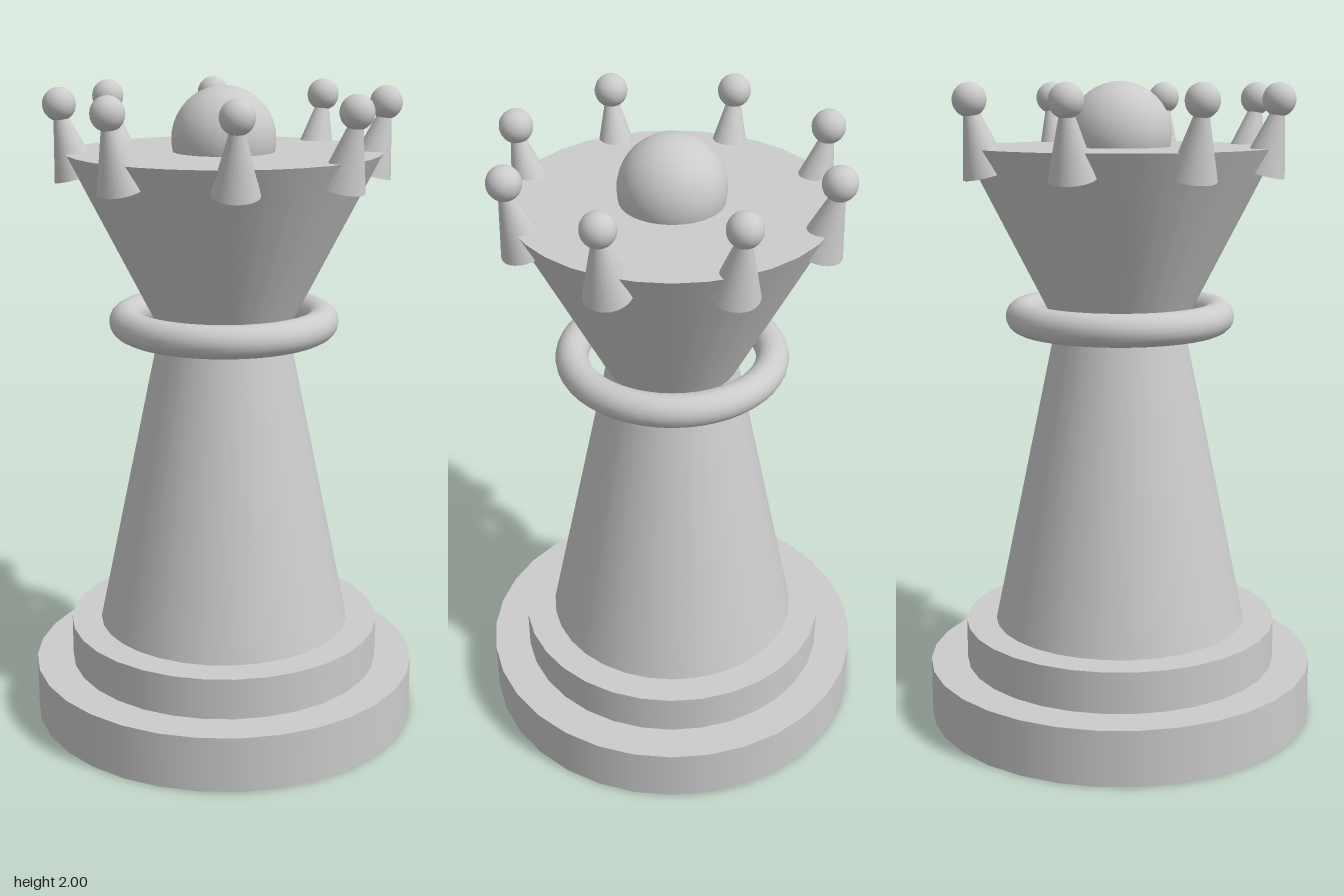
import * as THREE from 'three';

export function createModel() {
  const model = new THREE.Group();
  const material = new THREE.MeshStandardMaterial({ color: 0xcccccc });

  function add(name, geometry, y, parent = model) {
    const mesh = new THREE.Mesh(geometry, material);
    mesh.name = name;
    mesh.position.y = y;
    parent.add(mesh);
    return mesh;
  }

  // Round section standing between two heights
  function drum(name, bottomRadius, topRadius, y0, y1) {
    return add(name, new THREE.CylinderGeometry(topRadius, bottomRadius, y1 - y0, 32), (y0 + y1) / 2);
  }

  // Stepped foot, tapering body and flared crown
  drum('base', 0.612, 0.612, 0, 0.175);
  drum('baseStep', 0.495, 0.495, 0.175, 0.305);
  drum('body', 0.4, 0.2, 0.305, 1.262);
  drum('crown', 0.2, 0.477, 1.262, 1.805);

  // Loose ring around the neck
  const collar = add('collar', new THREE.TorusGeometry(0.305, 0.05, 20, 48), 1.288);
  collar.rotation.x = Math.PI / 2;

  // Ball on top
  add('finial', new THREE.SphereGeometry(0.158, 32, 20), 1.842);

  // Eight outward-leaning prongs tipped with small balls
  const coneGeometry = new THREE.CylinderGeometry(0.022, 0.07, 0.18, 24);
  const ballGeometry = new THREE.SphereGeometry(0.05, 20, 14);
  for (let i = 0; i < 8; i++) {
    const prong = new THREE.Group();
    prong.name = 'prong' + (i + 1);
    prong.rotation.y = (i * Math.PI) / 4;
    const cone = add('prongCone', coneGeometry, 1.82, prong);
    cone.position.x = 0.463;
    cone.rotation.z = -0.25;
    add('prongBall', ballGeometry, 1.947, prong).position.x = 0.489;
    model.add(prong);
  }

  return model;
}
